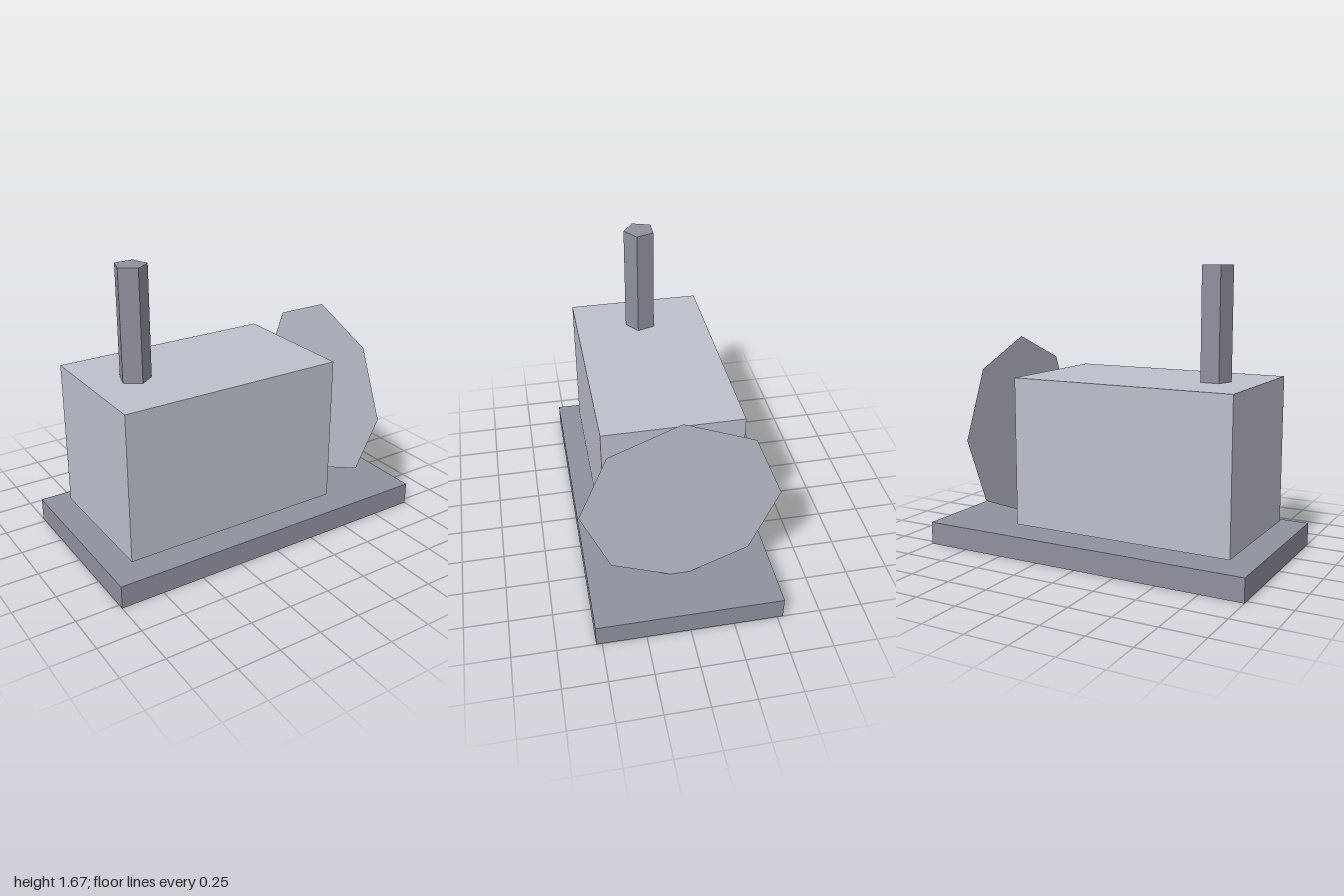
import * as THREE from 'three';

export function createModel() {
  const model = new THREE.Group();
  const paint = (name, color, extra = {}) => {
    const m = new THREE.MeshStandardMaterial({ color, flatShading: true, ...extra });
    m.name = name;
    return m;
  };
  const lightGrey = paint('light grey', 0xbbc0ca);
  const lightGreySheet = lightGrey.clone(); // same colour, seen from both sides
  lightGreySheet.side = THREE.DoubleSide;
  const darkGrey = paint('dark grey', 0x8e929d);

  const add = (name, geometry, material, x, y, z) => {
    const mesh = new THREE.Mesh(geometry, material);
    mesh.name = name;
    mesh.position.set(x, y, z);
    model.add(mesh);
    return mesh;
  };

  // Flat slab under everything
  add('basePlate', new THREE.BoxGeometry(2, 0.134, 1.067), darkGrey, 0, 0.067, 0);

  // Engine housing, held just clear of the slab
  add('housing', new THREE.BoxGeometry(1.333, 0.867, 0.8), lightGrey, -0.2, 0.597, 0);

  // Five-sided exhaust pipe
  add('exhaustPipe', new THREE.CylinderGeometry(0.093, 0.093, 0.667, 5), darkGrey, -0.6, 1.337, 0);

  // Paper-thin eight-sided fan disc facing +x, its lowest corner sunk in the slab
  const disc = add('fanDisc', new THREE.CircleGeometry(0.56, 8), lightGreySheet, 0.692, 0.67, 0);
  disc.rotation.y = Math.PI / 2;

  return model;
}
